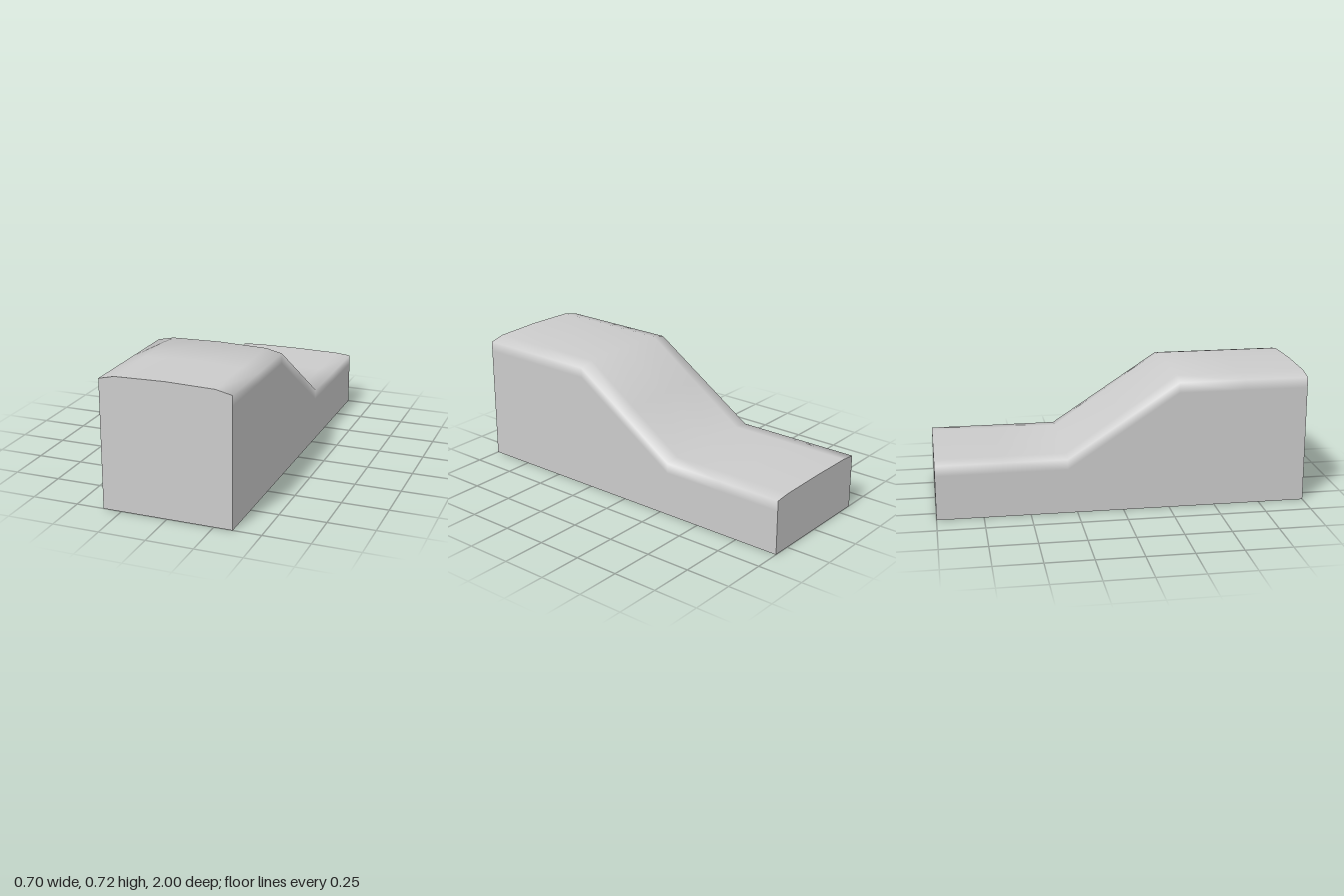
import * as THREE from 'three';

const HALF_WIDTH = 0.35;

// Height of the crown along the length: low back, ramp, high front
const stations = [[-1, 0.31], [-0.65, 0.31], [-0.3, 0.31], [0, 0.515], [0.3, 0.72], [0.65, 0.72], [1, 0.72]];

// Cross-section, from the right foot over the shallow crown to the left foot
function section(height) {
  const edge = height * 0.964;
  const half = [[HALF_WIDTH, 0], [HALF_WIDTH, edge - 0.055], [HALF_WIDTH, edge], [0.264, height * 0.991]];
  return [...half.map(([x, y]) => [-x, y]), [0, height], ...half.reverse()];
}

// Smooth skin lofted through the stations
function skinGeometry() {
  const positions = [], index = [];
  const n = section(1).length;
  for (const [z, height] of stations) {
    for (const [x, y] of section(height)) positions.push(x, y, z);
  }
  for (let i = 0; i < stations.length - 1; i++) {
    for (let j = 0; j < n - 1; j++) {
      const a = i * n + j, b = a + n;
      index.push(a, b, a + 1, a + 1, b, b + 1);
    }
  }
  const geometry = new THREE.BufferGeometry();
  geometry.setAttribute('position', new THREE.Float32BufferAttribute(positions, 3));
  geometry.setIndex(index);
  geometry.computeVertexNormals();
  return geometry;
}

// Flat end wall with the crowned outline
function endGeometry(height) {
  return new THREE.ShapeGeometry(new THREE.Shape(section(height).map(([x, y]) => new THREE.Vector2(x, y))));
}

export function createModel() {
  const group = new THREE.Group();
  group.name = 'rampBlock';
  const material = new THREE.MeshStandardMaterial({ color: 0xcccccc });
  const add = (name, geometry) => {
    const mesh = new THREE.Mesh(geometry, material);
    mesh.name = name;
    group.add(mesh);
  };

  add('crownedSkin', skinGeometry());
  add('frontWall', endGeometry(0.72).translate(0, 0, 1));
  add('backWall', endGeometry(0.31).rotateY(Math.PI).translate(0, 0, -1));
  add('underside', new THREE.PlaneGeometry(HALF_WIDTH * 2, 2).rotateX(Math.PI / 2));
  return group;
}
